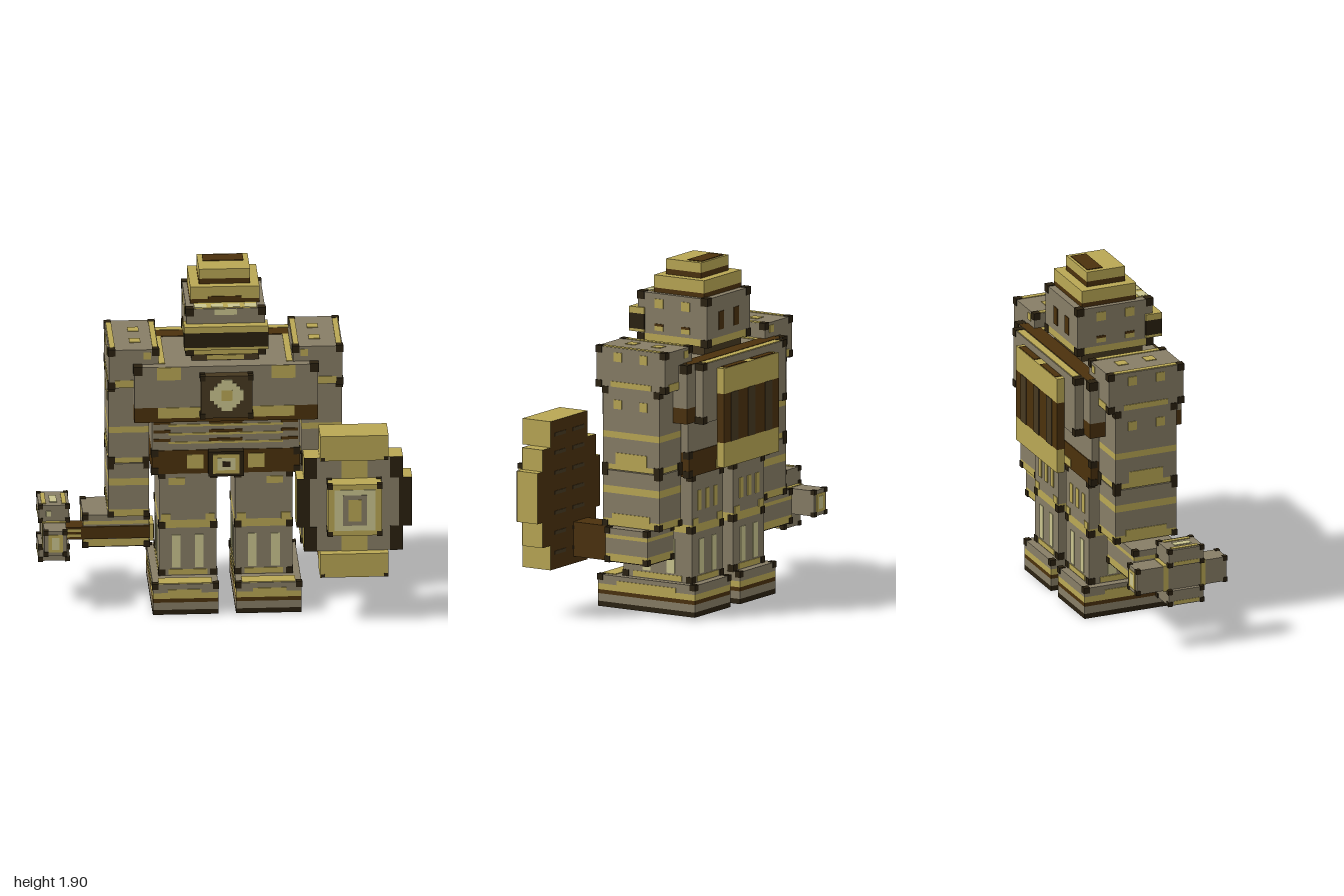
import * as THREE from 'three';

const colour = (name, hex) => {
  const m = new THREE.MeshStandardMaterial({ color: hex });
  m.name = name;
  return m;
};
const stone = colour('stone', 0x877d66), gold = colour('gold', 0xb9a754), brown = colour('brown', 0x4b310c),
  dark = colour('dark', 0x2a2110), cream = colour('cream', 0xc9c48e), umber = colour('umber', 0x463820);

// Box from its limits [x0, x1, y0, y1, z0, z1]
function box(parent, name, mat, b) {
  const m = new THREE.Mesh(new THREE.BoxGeometry(Math.abs(b[1] - b[0]), b[3] - b[2], b[5] - b[4]), mat);
  m.position.set((b[0] + b[1]) / 2, (b[2] + b[3]) / 2, (b[4] + b[5]) / 2);
  m.name = name;
  parent.add(m);
  return m;
}

// Thin painted plate on the plane axis = at; u, v are (x,y), (z,y) or (x,z)
function paint(parent, name, mat, axis, at, u0, u1, v0, v1) {
  const t = [at - 0.004, at + 0.004];
  const b = axis === 'z' ? [u0, u1, v0, v1, ...t] : axis === 'x' ? [...t, v0, v1, u0, u1] : [u0, u1, ...t, v0, v1];
  return box(parent, name, mat, b);
}

// Dark caps on the eight corners of a box
function caps(parent, b, s = 0.03, ends = [2, 3]) {
  const e = 0.004;
  const span = (i) => (i % 2 ? [b[i] - s, b[i] + e] : [b[i] - e, b[i] + s]);
  for (const x of [0, 1]) for (const y of ends) for (const z of [4, 5])
    box(parent, 'cornerCap', dark, [...span(x), ...span(y), ...span(z)]);
}

// Box built from stacked colour layers: [top height, material] upwards
function layers(parent, name, b, list) {
  let y = b[2];
  for (const [top, mat] of list) {
    box(parent, name, mat, [b[0], b[1], y, top, b[4], b[5]]);
    y = top;
  }
}

function group(parent, name) {
  const g = new THREE.Group();
  g.name = name;
  parent.add(g);
  return g;
}

function buildLeg(body, s) {
  const g = group(body, s > 0 ? 'leftLeg' : 'rightLeg');
  const X = (a, b) => (s > 0 ? [a, b] : [-b, -a]);
  // foot
  const foot = [...X(0.048, 0.402), 0, 0.175, -0.38, 0.24];
  layers(g, 'foot', foot, [[0.028, dark], [0.07, stone], [0.092, brown], [0.125, gold], [0.175, stone]]);
  caps(g, foot, 0.03, [3]);
  paint(g, 'toeTrim', gold, 'z', 0.24, ...X(0.14, 0.32), 0.12, 0.145);
  paint(g, 'toeTop', gold, 'y', 0.175, ...X(0.08, 0.37), 0.15, 0.235);
  for (const x of X(0.048, 0.402)) paint(g, 'footTrim', gold, 'x', x, -0.26, 0.12, 0.125, 0.15);
  // shin with pale flutes
  const shin = [...X(0.05, 0.36), 0.175, 0.45, -0.335, 0.105];
  box(g, 'shin', stone, shin);
  caps(g, shin, 0.035, [2]);
  for (const z of [-0.335, 0.105]) {
    for (const a of [0.12, 0.245]) paint(g, 'flute', cream, 'z', z, ...X(a, a + 0.047), 0.22, 0.41);
    paint(g, 'ankleTrim', gold, 'z', z, ...X(0.1, 0.31), 0.18, 0.21);
  }
  for (const x of X(0.05, 0.36)) {
    for (const z of [-0.225, -0.07]) paint(g, 'flute', cream, 'x', x, z, z + 0.05, 0.22, 0.41);
    paint(g, 'ankleTrim', gold, 'x', x, -0.27, 0.04, 0.18, 0.21);
  }
  // thigh
  const thigh = [...X(0.05, 0.36), 0.45, 0.77, -0.335, 0.105];
  layers(g, 'thigh', thigh, [[0.495, gold], [0.77, stone]]);
  caps(g, thigh, 0.035);
  for (const z of [-0.335, 0.105])
    for (const a of [0.06, 0.3]) paint(g, 'kneeTrim', gold, 'z', z, ...X(a, a + 0.05), 0.49, 0.53);
  paint(g, 'thighTrim', gold, 'z', 0.105, ...X(0.22, 0.31), 0.7, 0.74);
  for (const a of [0.11, 0.19, 0.27]) paint(g, 'thighSpot', gold, 'z', -0.335, ...X(a, a + 0.035), 0.57, 0.68);
}

function buildArm(body, s) {
  const left = s > 0;
  const g = group(body, left ? 'leftArm' : 'rightArm');
  const X = (a, b) => (left ? [a, b] : [-b, -a]);
  // shoulder block
  const sh = [...X(0.363, 0.632), 1.265, 1.485, -0.338, 0.102];
  box(g, 'shoulder', stone, sh);
  caps(g, sh, 0.035);
  for (const z of [-0.2, -0.035]) {
    paint(g, 'rivet', gold, 'y', 1.485, ...X(0.455, 0.515), z - 0.03, z + 0.03);
    paint(g, 'rivet', gold, 'x', s * 0.632, z - 0.025, z + 0.025, 1.41, 1.46);
  }
  for (const a of [0.366, 0.597]) paint(g, 'shoulderEdge', gold, 'y', 1.485, ...X(a, a + 0.03), -0.3, 0.065);
  paint(g, 'shoulderTrim', gold, 'x', s * 0.632, -0.25, 0.01, 1.27, 1.3);
  for (const z of [-0.338, 0.102]) {
    paint(g, 'rivet', gold, 'z', z, ...X(0.405, 0.445), 1.43, 1.47);
    paint(g, 'shoulderTrim', gold, 'z', z, ...X(0.5, 0.6), 1.27, 1.31);
  }
  // upper arm and forearm
  const upper = [...X(0.413, 0.632), 0.815, 1.265, -0.3, 0.06];
  layers(g, 'upperArm', upper, [[0.845, gold], [0.99, stone], [1.025, gold], [1.265, stone]]);
  caps(g, upper, 0.035);
  const fore = [...X(0.413, 0.632), 0.505, 0.81, -0.3, 0.06];
  layers(g, 'forearm', fore, [[0.545, gold], [0.685, stone], [0.725, gold], [0.81, stone]]);
  caps(g, fore, 0.03);
  paint(g, 'elbowTrim', gold, 'x', s * 0.632, -0.22, -0.02, 0.845, 0.91);
  paint(g, 'wristTrim', gold, 'x', s * 0.632, -0.24, 0, 0.54, 0.575);
  for (const z of [-0.2, -0.035]) paint(g, 'rivet', gold, 'x', s * 0.632, z - 0.025, z + 0.025, 1.15, 1.2);
  // hand
  const hand = left ? [0.413, 0.672, 0.315, 0.5, -0.25, 0.02] : [-0.767, -0.41, 0.315, 0.5, -0.25, 0.02];
  layers(g, 'hand', hand, [[0.32, dark], [0.36, gold], [0.445, stone], [0.465, gold], [0.5, stone]]);
  caps(g, hand, 0.03);
}

function buildTorso(body) {
  const g = group(body, 'torso');
  // belt and buckle
  const belt = [-0.4, 0.4, 0.765, 0.9, -0.34, 0.11];
  box(g, 'belt', brown, belt);
  caps(g, belt, 0.035);
  for (const s of [-1, 1]) paint(g, 'beltTab', gold, 'z', 0.11, s * 0.165 - 0.045, s * 0.165 + 0.045, 0.795, 0.875);
  paint(g, 'beltBackTab', gold, 'z', -0.34, -0.13, 0.13, 0.775, 0.82);
  box(g, 'buckle', dark, [-0.095, 0.095, 0.762, 0.905, 0.11, 0.155]);
  paint(g, 'buckleFrame', gold, 'z', 0.156, -0.072, 0.072, 0.78, 0.89);
  paint(g, 'bucklePlate', cream, 'z', 0.158, -0.048, 0.048, 0.8, 0.87);
  paint(g, 'buckleStud', dark, 'z', 0.16, -0.022, 0.022, 0.82, 0.85);
  // waist with ribs
  const waist = [-0.4, 0.4, 0.9, 1.08, -0.335, 0.105];
  box(g, 'waist', stone, waist);
  for (const y of [0.955, 1.005, 1.055]) {
    paint(g, 'rib', gold, 'z', 0.105, -0.31, 0.31, y - 0.018, y - 0.006);
    for (const [a, b] of [[-0.39, -0.3], [-0.09, 0.09], [0.3, 0.39]])
      paint(g, 'ribSlot', brown, 'z', 0.105, a, b, y - 0.004, y + 0.012);
  }
  // chest
  const chest = [-0.497, 0.497, 1.08, 1.4, -0.39, 0.15];
  layers(g, 'chest', chest, [[1.165, brown], [1.4, stone]]);
  caps(g, chest, 0.045, [3]);
  paint(g, 'chestBand', gold, 'z', 0.15, -0.37, 0.37, 1.105, 1.165);
  for (const s of [-1, 1]) {
    paint(g, 'chestPatch', gold, 'z', 0.15, s * 0.31 - 0.065, s * 0.31 + 0.065, 1.325, 1.398);
    paint(g, 'collarEdge', gold, 'y', 1.4, s * 0.345 - 0.017, s * 0.345 + 0.017, -0.3, 0.1);
  }
  paint(g, 'collarBack', brown, 'y', 1.4, -0.45, 0.45, -0.388, -0.3);
  // chest emblem
  const emblem = [-0.14, 0.14, 1.12, 1.362, 0.15, 0.205];
  box(g, 'emblem', umber, emblem);
  caps(g, emblem, 0.025);
  [[0.09, 0.03], [0.07, 0.052], [0.052, 0.07], [0.03, 0.09]].forEach(([w, h], i) =>
    paint(g, 'emblemGem', cream, 'z', 0.205 + i * 0.0003, -w, w, 1.252 - h, 1.252 + h));
  paint(g, 'emblemCore', gold, 'z', 0.208, -0.03, 0.03, 1.222, 1.282);
  // back plate and hanging cape
  const back = [-0.412, 0.412, 1.075, 1.4, -0.44, -0.39];
  box(g, 'backPlate', stone, back);
  caps(g, back, 0.035);
  paint(g, 'backPlateTop', gold, 'y', 1.4, -0.37, 0.37, -0.436, -0.394);
  layers(g, 'cape', [-0.272, 0.272, 0.815, 1.36, -0.485, -0.44], [[0.95, gold], [1.22, brown], [1.36, gold]]);
  for (const x of [-0.17, 0, 0.17]) paint(g, 'capeStripe', umber, 'z', -0.485, x - 0.035, x + 0.035, 0.95, 1.22);
  for (const s of [-1, 1]) paint(g, 'capeClasp', brown, 'y', 1.36, s * 0.14 - 0.1, s * 0.14 + 0.1, -0.482, -0.445);
}

function buildHead(body) {
  const g = group(body, 'head');
  box(g, 'neck', umber, [-0.182, 0.182, 1.4, 1.455, -0.3, 0.06]);
  paint(g, 'neckTrim', gold, 'z', 0.06, -0.1, 0.1, 1.405, 1.43);
  const skull = [-0.213, 0.213, 1.45, 1.715, -0.338, 0.105];
  layers(g, 'skull', skull, [[1.49, gold], [1.715, stone]]);
  caps(g, skull, 0.04);
  for (const s of [-1, 1]) for (const z of [-0.2, -0.03]) {
    paint(g, 'rivet', gold, 'x', s * 0.213, z - 0.027, z + 0.027, 1.635, 1.685);
    paint(g, 'rivet', gold, 'x', s * 0.213, z - 0.027, z + 0.027, 1.51, 1.535);
    paint(g, 'rivetShade', brown, 'x', s * 0.213, z - 0.027, z + 0.027, 1.535, 1.548);
  }
  for (const s of [-1, 1]) paint(g, 'backSlot', brown, 'z', -0.338, s * 0.075 - 0.025, s * 0.075 + 0.025, 1.53, 1.63);
  paint(g, 'browMark', cream, 'z', 0.105, -0.06, 0.06, 1.68, 1.713);
  paint(g, 'crownFront', gold, 'y', 1.715, -0.17, 0.17, 0.02, 0.1);
  for (const x of [-0.135, -0.045, 0.045, 0.135])
    paint(g, 'crownStud', cream, 'y', 1.717, x - 0.032, x + 0.032, 0.045, 0.095);
  // visor
  layers(g, 'visor', [-0.227, 0.227, 1.495, 1.63, 0.06, 0.155], [[1.51, gold], [1.595, dark], [1.63, gold]]);
  // stepped helmet crest
  layers(g, 'lowerCrest', [-0.187, 0.187, 1.715, 1.81, -0.3, 0.02], [[1.74, brown], [1.81, gold]]);
  layers(g, 'upperCrest', [-0.138, 0.138, 1.81, 1.895, -0.25, -0.025], [[1.84, brown], [1.895, gold]]);
  paint(g, 'crestMark', brown, 'y', 1.895, -0.11, 0.11, -0.235, -0.145);
  paint(g, 'crestFrontMark', brown, 'z', 0.02, -0.09, 0.09, 1.74, 1.755);
}

function buildHammer(root) {
  const g = group(root, 'hammer');
  box(g, 'handle', brown, [-0.86, -0.375, 0.365, 0.435, -0.07, 0.03]);
  for (const y of [0.38, 0.41]) paint(g, 'handleWrap', gold, 'z', 0.03, -0.855, -0.77, y, y + 0.015);
  box(g, 'pommel', gold, [-0.4, -0.378, 0.355, 0.45, -0.085, 0.045]);
  const bar = [-0.978, -0.857, 0.34, 0.48, -0.33, 0.2];
  box(g, 'headBar', stone, bar);
  caps(g, bar, 0.022);
  for (const z of [-0.16, 0.06]) box(g, 'headBand', gold, [-0.982, -0.853, 0.336, 0.484, z - 0.014, z + 0.014]);
  for (const z of [-0.33, 0.2]) {
    paint(g, 'headFace', gold, 'z', z, -0.957, -0.878, 0.36, 0.46);
    paint(g, 'headMark', cream, 'z', z + Math.sign(z) * 0.002, -0.937, -0.898, 0.375, 0.445);
  }
  for (const [y0, y1] of [[0.255, 0.34], [0.48, 0.575]]) {
    const b = [-1, -0.836, y0, y1, -0.15, 0.055];
    box(g, 'headBlock', stone, b);
    caps(g, b, 0.022);
    for (const x of [-1, -0.836]) paint(g, 'blockTrim', gold, 'x', x === -1 ? -0.998 : x, -0.12, 0.03, y0 + 0.005, y0 + 0.025);
    paint(g, 'blockMark', cream, 'z', 0.055, -0.96, -0.935, (y0 + y1) / 2 - 0.015, (y0 + y1) / 2 + 0.015);
  }
  paint(g, 'topMark', cream, 'y', 0.575, -0.94, -0.9, -0.09, 0.01);
  for (const x of [-0.985, -0.875]) paint(g, 'topTrim', gold, 'y', 0.575, x, x + 0.025, -0.125, 0.03);
}

function buildShield(root) {
  const g = group(root, 'shield');
  const faced = [gold, gold, gold, gold, stone, brown];
  box(g, 'grip', brown, [0.5, 0.642, 0.31, 0.5, 0, 0.25]);
  // stacked slabs: gold rims, stone face, brown back
  const rows = [[0.415, 0.95, 0.405, 0.545], [0.375, 1, 0.545, 0.825], [0.415, 0.95, 0.825, 0.945]];
  for (const [x0, x1, y0, y1] of rows) {
    box(g, 'shieldSlab', faced, [x0, x1, y0, y1, 0.25, 0.38]);
    for (const x of [x0 + 0.001, x1 - 0.071]) paint(g, 'slabEnd', dark, 'z', 0.38, x, x + 0.07, y0, y1);
    paint(g, 'centreStripe', gold, 'z', 0.38, 0.617, 0.757, y0, y1);
  }
  for (const [y0, y1] of [[0.27, 0.405], [0.945, 1.088]]) {
    box(g, 'endBlock', [gold, gold, gold, gold, gold, brown], [0.5, 0.87, y0, y1, 0.25, 0.43]);
    for (const x of [0.505, 0.845]) paint(g, 'endCap', dark, 'z', 0.43, x, x + 0.02, y0 + 0.002, y0 + 0.02);
  }
  for (const y of [0.36, 0.47, 0.58, 0.69, 0.8, 0.91, 1.01])
    for (const x of [0.54, 0.72]) paint(g, 'backSlat', umber, 'z', 0.25, x, x + 0.11, y - 0.01, y + 0.01);
  // boss
  const boss = [0.54, 0.83, 0.53, 0.825, 0.38, 0.48];
  box(g, 'boss', [gold, gold, gold, gold, gold, brown], boss);
  caps(g, boss, 0.025);
  paint(g, 'bossPlate', cream, 'z', 0.48, 0.575, 0.795, 0.56, 0.795);
  paint(g, 'bossRing', stone, 'z', 0.482, 0.62, 0.75, 0.59, 0.765);
  paint(g, 'bossGem', gold, 'z', 0.484, 0.65, 0.72, 0.615, 0.74);
}

export function createModel() {
  const root = new THREE.Group();
  root.name = 'armouredGuardian';
  const body = group(root, 'body');
  body.position.x = 0.008;
  for (const s of [-1, 1]) {
    buildLeg(body, s);
    buildArm(body, s);
  }
  buildTorso(body);
  buildHead(body);
  buildHammer(root);
  buildShield(root);
  return root;
}
